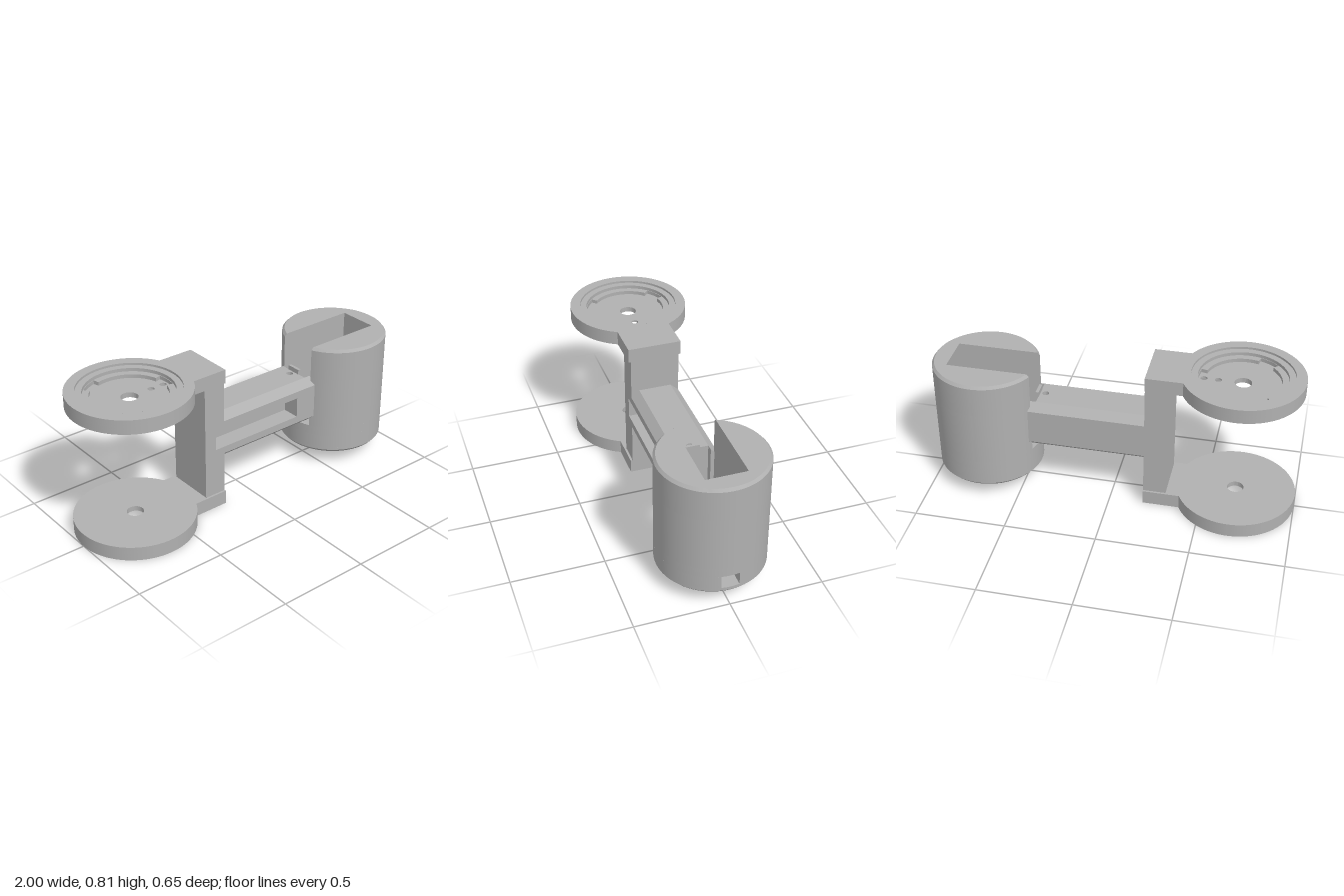
import * as THREE from 'three';
import { toCreasedNormals } from 'three/addons/utils/BufferGeometryUtils.js';

const grey = new THREE.MeshStandardMaterial({ color: 0xb0b0b0 });
grey.name = 'grey plastic';

function add(parent, name, geometry) {
  const mesh = new THREE.Mesh(toCreasedNormals(geometry, 0.5), grey);
  mesh.name = name;
  parent.add(mesh);
  return mesh;
}

function box(parent, name, x0, x1, y0, y1, z0, z1) {
  const g = new THREE.BoxGeometry(x1 - x0, y1 - y0, z1 - z0);
  g.translate((x0 + x1) / 2, (y0 + y1) / 2, (z0 + z1) / 2);
  return add(parent, name, g);
}

const extrude = (shape, depth) =>
  new THREE.ExtrudeGeometry(shape, { depth, bevelEnabled: false, curveSegments: 64 });

// Flat plan shape raised from y0 to y1
const slab = (shape, y0, y1) => extrude(shape, y1 - y0).rotateX(-Math.PI / 2).translate(0, y0, 0);

// Section given as [z, y] points, swept along x
function sweep(points, x0, x1) {
  const shape = new THREE.Shape(points.map(([z, y]) => new THREE.Vector2(-z, y)));
  return extrude(shape, x1 - x0).rotateY(Math.PI / 2).translate(x0, 0, 0);
}

const circle = (x, r) => new THREE.Path().absarc(x, 0, r, 0, Math.PI * 2, false);

function rectangle(x0, x1, z) {
  return new THREE.Path([[x0, -z], [x1, -z], [x1, z], [x0, z]].map(p => new THREE.Vector2(...p)));
}

// Round plate with a square neck toward the wall
function plateOutline(holes) {
  const a = Math.asin(0.147 / 0.325);
  const s = new THREE.Shape();
  s.absarc(0, 0, 0.325, a, Math.PI * 2 - a, false);
  s.lineTo(0.49, -0.147);
  s.lineTo(0.49, 0.147);
  s.closePath();
  s.holes.push(...holes);
  return s;
}

// Round opening with three outward notches
function notchedHole() {
  const p = new THREE.Path();
  const w = 0.24;
  for (let i = 0; i < 3; i++) {
    const a = i * Math.PI * 2 / 3;
    p.absarc(0, 0, 0.232, a - w, a + w, false);
    p.absarc(0, 0, 0.2, a + w, a + Math.PI * 2 / 3 - w, false);
  }
  p.closePath();
  return p;
}

// Plate built outward face first; up = 1 puts the recess below, -1 above
function plate(name, yOuter, up, upper) {
  const g = new THREE.Group();
  g.name = name;
  const floorHoles = upper ? [circle(0.13, 0.018), circle(0.205, 0.018)] : [];
  const layers = [
    ['rim', 0, 0.012, [circle(0, 0.27)]],
    ['step', 0.012, 0.03, [circle(0, 0.235)]],
    ['notchedRing', 0.03, 0.05, [notchedHole()]],
    ['floor', 0.05, 0.06, [circle(0, 0.045), ...floorHoles]],
    ['innerFace', 0.06, 0.078, [circle(0, 0.045), ...(upper ? [rectangle(0.08, 0.24, 0.022)] : [])]],
  ];
  for (const [part, d0, d1, holes] of layers) {
    const ys = [yOuter + up * d0, yOuter + up * d1].sort((a, b) => a - b);
    add(g, part, slab(plateOutline(holes), ys[0], ys[1]));
  }
  g.position.x = -0.675;
  return g;
}

// Cylinder plan with a channel open to -x, ending at xEnd
function channelPlan(r, xEnd, holes = []) {
  const a = Math.asin(0.11 / r);
  const s = new THREE.Shape();
  s.absarc(0, 0, r, -Math.PI + a, Math.PI - a, false);
  s.lineTo(xEnd, 0.11);
  s.lineTo(xEnd, -0.11);
  s.closePath();
  s.holes.push(...holes);
  return s;
}

function barrel() {
  const g = new THREE.Group();
  g.name = 'barrel';
  const r = 0.29;
  // Chamfered base with a centre hole
  const profile = [[0.026, 0.117], [0.026, 0.085], [0.277, 0.085], [r, 0.1], [r, 0.117], [0.026, 0.117]];
  add(g, 'base', new THREE.LatheGeometry(profile.map(p => new THREE.Vector2(...p)), 96));

  // Side pocket with a pointed inner end
  const b = Math.asin(0.048 / r);
  const pocket = new THREE.Shape();
  pocket.absarc(0, 0, r, b, Math.PI * 2 - b, false);
  pocket.lineTo(-0.028, -0.048);
  pocket.lineTo(-0.055, 0);
  pocket.lineTo(-0.028, 0.048);
  pocket.closePath();
  add(g, 'pocketLayer', slab(pocket, 0.117, 0.19));

  const full = new THREE.Shape();
  full.absarc(0, 0, r, 0, Math.PI * 2, false);
  add(g, 'channelFloor', slab(full, 0.19, 0.242));
  add(g, 'lowerWalls', slab(channelPlan(r, 0.1, [circle(0.135, 0.018)]), 0.242, 0.545));
  add(g, 'upperWalls', slab(channelPlan(r, 0.187), 0.545, 0.712));

  // Chamfered top edge: pull the upper outer vertices inward
  const top = slab(channelPlan(r, 0.187), 0.712, 0.727);
  const p = top.attributes.position;
  for (let i = 0; i < p.count; i++) {
    const d = Math.hypot(p.getX(i), p.getZ(i));
    if (p.getY(i) > 0.72 && d > 0.285) {
      p.setX(i, p.getX(i) * 0.955);
      if (Math.abs(p.getZ(i)) > 0.111) p.setZ(i, p.getZ(i) * 0.955);
    }
  }
  add(g, 'topChamfer', top);
  g.position.x = 0.71;
  return g;
}

function arm() {
  const g = new THREE.Group();
  g.name = 'arm';
  // Octagonal beam with a long slot in its front face
  const slotted = [
    [-0.09, 0.545], [-0.135, 0.505], [-0.135, 0.31], [-0.09, 0.27], [0.09, 0.27], [0.135, 0.31],
    [0.135, 0.35], [0.035, 0.35], [0.035, 0.465], [0.135, 0.465], [0.135, 0.505], [0.09, 0.545],
  ];
  add(g, 'slottedBeam', sweep(slotted, -0.185, 0.325));
  // Beam end with a screw hole, and cheeks reaching the barrel
  const end = new THREE.Shape(rectangle(0.325, 0.415, 0.09).getPoints());
  end.holes.push(circle(0.385, 0.018));
  add(g, 'beamEnd', slab(end, 0.27, 0.545));
  for (const s of [-1, 1]) {
    const cheek = [[0.09, 0.545], [0.135, 0.505], [0.135, 0.31], [0.09, 0.27]].map(([z, y]) => [s * z, y]);
    add(g, 'cheek', sweep(cheek, 0.325, 0.452));
  }
  box(g, 'endTab', 0.413, 0.43, 0.525, 0.572, -0.04, 0.04);
  return g;
}

function wall() {
  const g = new THREE.Group();
  g.name = 'wall';
  box(g, 'wallBack', -0.31, -0.185, 0.078, 0.735, -0.135, 0.035);
  // Front layer is notched where the arm slot runs into it
  const notch = [
    [-0.31, 0.078], [-0.185, 0.078], [-0.185, 0.35], [-0.24, 0.35],
    [-0.24, 0.465], [-0.185, 0.465], [-0.185, 0.735], [-0.31, 0.735],
  ];
  const shape = new THREE.Shape(notch.map(p => new THREE.Vector2(...p)));
  add(g, 'wallFront', extrude(shape, 0.1).translate(0, 0, 0.035));
  return g;
}

export function createModel() {
  const model = new THREE.Group();
  model.name = 'bracketArm';
  model.add(
    plate('lowerPlate', 0, 1, false),
    plate('upperPlate', 0.812, -1, true),
    wall(),
    arm(),
    barrel(),
  );
  return model;
}
